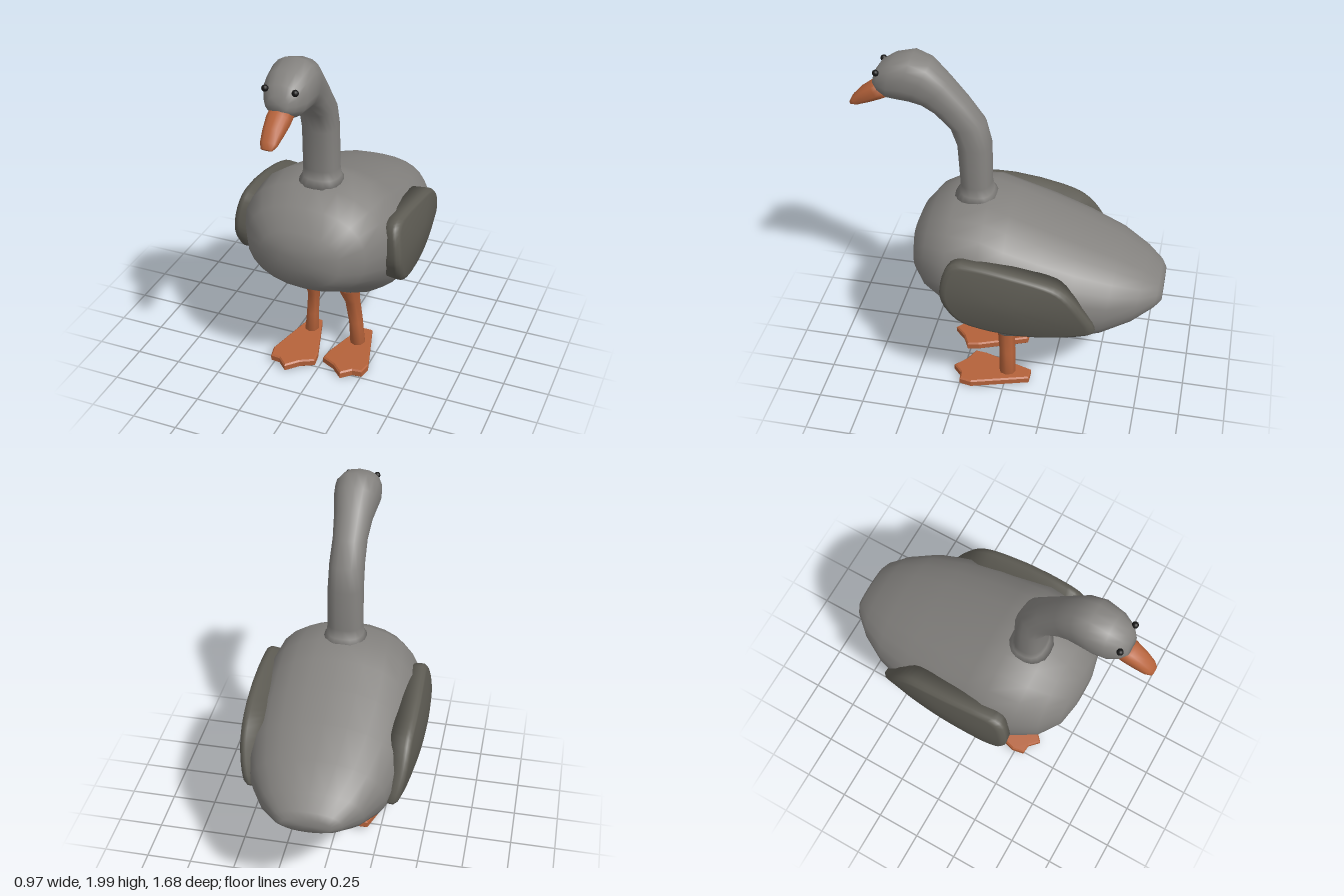
import * as THREE from 'three';

const paint = (color) => new THREE.MeshStandardMaterial({ color });
const plumage = paint(0x84827f), wingFeather = paint(0x5e5c54), orange = paint(0xb5623a), black = paint(0x151515);

// Skins a stack of equal-length rings of points and closes both ends
function skin(rings) {
  const n = rings[0].length, pts = rings.flat(), index = [];
  for (let i = 0; i < rings.length - 1; i++) {
    for (let j = 0; j < n; j++) {
      const a = i * n + j, b = i * n + (j + 1) % n;
      index.push(a, b, a + n, b, b + n, a + n);
    }
  }
  const middle = (ring) => ring.reduce((s, p) => s.add(p), new THREE.Vector3()).divideScalar(n);
  const first = pts.length, last = first + 1, end = (rings.length - 1) * n;
  const all = [...pts, middle(rings[0]), middle(rings[rings.length - 1])];
  for (let j = 0; j < n; j++) {
    const k = (j + 1) % n;
    index.push(first, k, j, last, end + j, end + k);
  }
  const g = new THREE.BufferGeometry().setFromPoints(all);
  g.setIndex(index);
  g.computeVertexNormals();
  return g;
}

// Rounded cross-section between two points of the side profile: [z1, y1, z2, y2, halfWidth, x]
function section([z1, y1, z2, y2, w, x = 0], sides, power) {
  const bulge = (v) => Math.sign(v) * Math.abs(v) ** (2 / power);
  return Array.from({ length: sides }, (_, j) => {
    const a = j / sides * Math.PI * 2, u = bulge(Math.cos(a)) / 2;
    return new THREE.Vector3(x + w * bulge(Math.sin(a)), (y1 + y2) / 2 + u * (y1 - y2), (z1 + z2) / 2 + u * (z1 - z2));
  });
}
const loft = (rows, sides, power) => skin(rows.map((r) => section(r, sides, power)));

// Domed wing plate following a bowed surface on the left flank
function wingGeometry() {
  const outline = [[0.18, 1.04], [0.25, 1.01], [0.285, 0.9], [0.28, 0.8], [0.2, 0.68], [0.05, 0.63],
    [-0.2, 0.61], [-0.45, 0.635], [-0.52, 0.66], [-0.45, 0.82], [-0.36, 0.93], [-0.25, 0.98]];
  const curve = new THREE.CatmullRomCurve3(outline.map(([z, y]) => new THREE.Vector3(0, y, z)), true, 'centripetal');
  const edge = curve.getPoints(40).slice(0, 40);
  const layers = [[0.97, -0.11], [1, -0.03], [1, -0.015], [0.96, 0], [0.9, 0.002], [0.6, 0.002], [0.25, 0.002]];
  return skin(layers.map(([s, lift]) => edge.map((p) => {
    const y = 0.82 + (p.y - 0.82) * s, z = -0.08 + (p.z + 0.08) * s;
    return new THREE.Vector3(0.483 - 0.2 * (z - 0.03) ** 2 - 0.8 * (y - 0.82) ** 2 + lift, y, z);
  })));
}

// Webbed foot: narrow heel, three toe points
function footGeometry() {
  const outline = [[-0.03, -0.13], [0.03, -0.13], [0.122, 0.18], [0.11, 0.24], [0.06, 0.245], [0.01, 0.292],
    [-0.05, 0.235], [-0.122, 0.2], [-0.115, 0.14]];
  const shape = new THREE.Shape(outline.map(([x, z]) => new THREE.Vector2(x, z)));
  return new THREE.ExtrudeGeometry(shape, { depth: 0.03, bevelSize: 0.008, bevelThickness: 0.008, bevelSegments: 1 })
    .rotateX(Math.PI / 2);
}

export function createModel() {
  const model = new THREE.Group();
  const add = (name, geometry, material, parent = model) => {
    const mesh = new THREE.Mesh(geometry, material);
    mesh.name = name;
    parent.add(mesh);
    return mesh;
  };

  // Body, breast to tail
  add('body', loft([
    [0.515, 0.95, 0.515, 0.82, 0.1], [0.485, 1.03, 0.49, 0.72, 0.22], [0.4, 1.13, 0.42, 0.65, 0.33],
    [0.28, 1.195, 0.27, 0.56, 0.405], [0.1, 1.21, 0.1, 0.44, 0.435], [-0.02, 1.17, -0.03, 0.385, 0.44],
    [-0.2, 1.105, -0.18, 0.42, 0.435], [-0.4, 1.03, -0.35, 0.445, 0.41], [-0.6, 0.95, -0.52, 0.49, 0.355],
    [-0.74, 0.87, -0.68, 0.57, 0.27], [-0.82, 0.805, -0.8, 0.655, 0.18], [-0.84, 0.77, -0.84, 0.69, 0.13],
  ], 24, 2.25), plumage);

  // Neck curving into the head
  add('neckAndHead', loft([
    [0.31, 1.17, 0.04, 1.16, 0.13], [0.27, 1.22, 0.09, 1.22, 0.1], [0.265, 1.27, 0.1, 1.27, 0.095],
    [0.277, 1.5, 0.1, 1.5, 0.094], [0.315, 1.61, 0.13, 1.63, 0.092], [0.4, 1.69, 0.21, 1.75, 0.09],
    [0.46, 1.725, 0.31, 1.87, 0.1], [0.52, 1.74, 0.4, 1.965, 0.117], [0.57, 1.745, 0.49, 2, 0.124],
    [0.63, 1.75, 0.59, 1.975, 0.113], [0.68, 1.78, 0.66, 1.93, 0.083], [0.705, 1.81, 0.69, 1.885, 0.05],
  ], 18, 2.4), plumage);

  add('beak', loft([
    [0.61, 1.75, 0.67, 1.835, 0.058], [0.67, 1.722, 0.72, 1.81, 0.06], [0.73, 1.695, 0.78, 1.765, 0.052],
    [0.79, 1.673, 0.825, 1.715, 0.042], [0.825, 1.67, 0.84, 1.685, 0.028],
  ], 14, 2.5), orange);

  // Mirrored eyes and wings
  const wing = wingGeometry(), eye = new THREE.SphereGeometry(0.017, 12, 8);
  for (const side of [1, -1]) {
    const label = side > 0 ? 'left' : 'right';
    add(label + 'Eye', eye, black).position.set(side * 0.076, 1.905, 0.67);
    add(label + 'Wing', wing, wingFeather).scale.x = side;
  }

  // Legs, foot upwards; the right one steps slightly forward
  add('leftLeg', loft([
    [0.04, 0.03, -0.055, 0.03, 0.045, 0.137], [0.042, 0.2, -0.05, 0.2, 0.04, 0.125],
    [0.055, 0.34, -0.045, 0.34, 0.042, 0.108], [0.11, 0.44, -0.05, 0.44, 0.06, 0.1], [0.12, 0.5, -0.05, 0.5, 0.06, 0.1],
  ], 8, 2), orange);
  add('rightLeg', loft([
    [0.05, 0.05, -0.04, 0.05, 0.043, -0.142], [0.045, 0.2, -0.04, 0.2, 0.035, -0.135],
    [0.055, 0.34, -0.04, 0.34, 0.032, -0.125], [0.11, 0.44, -0.05, 0.44, 0.046, -0.115], [0.12, 0.5, -0.05, 0.5, 0.05, -0.115],
  ], 8, 2), orange);

  const foot = footGeometry();
  add('leftFoot', foot, orange).position.set(0.14, 0.046, 0);
  const rightFoot = add('rightFoot', foot, orange);
  rightFoot.position.set(-0.147, 0.072, 0.06);
  rightFoot.rotation.x = 0.07;
  rightFoot.scale.x = -1;

  return model;
}
